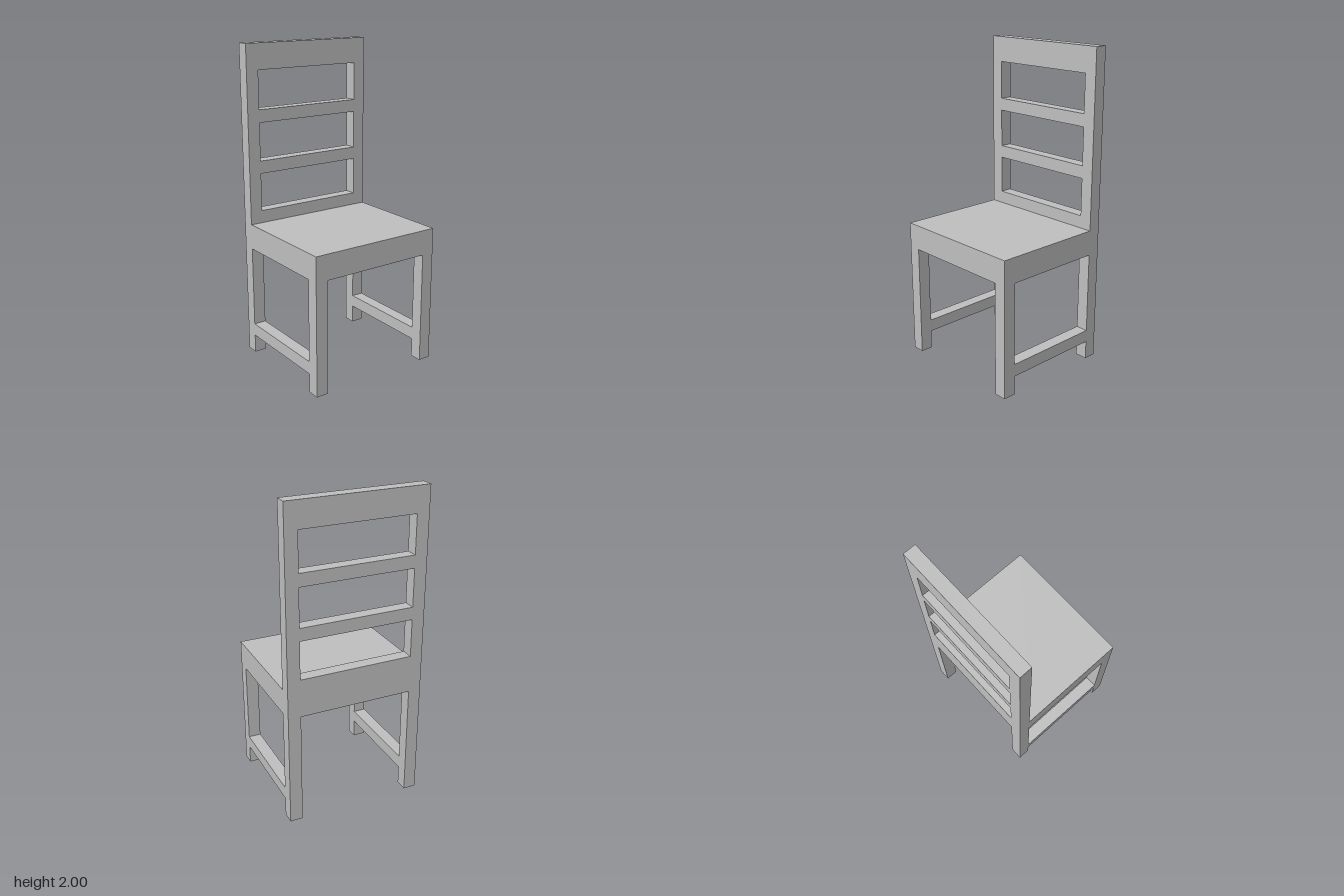
import * as THREE from 'three';

export function createModel() {
  const chair = new THREE.Group();
  chair.name = 'chair';
  const grey = new THREE.MeshStandardMaterial({ color: 0xc0c0c0 });
  grey.name = 'plain grey';

  const add = (name, geometry) => {
    const mesh = new THREE.Mesh(geometry, grey);
    mesh.name = name;
    chair.add(mesh);
  };
  // Box given by its lower and upper corners
  const box = (name, [x0, y0, z0], [x1, y1, z1]) => {
    const g = new THREE.BoxGeometry(x1 - x0, y1 - y0, z1 - z0);
    g.translate((x0 + x1) / 2, (y0 + y1) / 2, (z0 + z1) / 2);
    add(name, g);
  };

  const t = 0.08; // timber thickness
  const hx = 0.4, hz = 0.44; // half depth and half width
  const inX = hx - t, inZ = hz - t;
  const seatBottom = 0.72, seatTop = 0.88;

  // Back frame: rear legs, posts and slats in one piece, with three openings
  const outline = [
    [-hz, 0], [-inZ, 0], [-inZ, seatBottom], [inZ, seatBottom],
    [inZ, 0], [hz, 0], [hz, 2], [-hz, 2],
  ].map(([a, b]) => new THREE.Vector2(a, b));
  const frame = new THREE.Shape(outline);
  for (const y of [0.96, 1.28, 1.6]) {
    frame.holes.push(new THREE.Path([
      new THREE.Vector2(-inZ, y), new THREE.Vector2(-inZ, y + 0.24),
      new THREE.Vector2(inZ, y + 0.24), new THREE.Vector2(inZ, y),
    ]));
  }
  const back = new THREE.ExtrudeGeometry(frame, { depth: t, bevelEnabled: false });
  back.rotateY(Math.PI / 2).translate(-hx, 0, 0);
  add('backFrame', back);

  // Thick seat block
  box('seat', [-inX, seatBottom, -hz], [hx, seatTop, hz]);

  // Front legs and side stretchers
  for (const [side, z] of [['left', -hz], ['right', inZ]]) {
    box(side + 'SeatLeg', [inX, 0, z], [hx, seatBottom, z + t]);
    box(side + 'Stretcher', [-inX, 0.12, z], [inX, 0.2, z + t]);
  }
  return chair;
}
